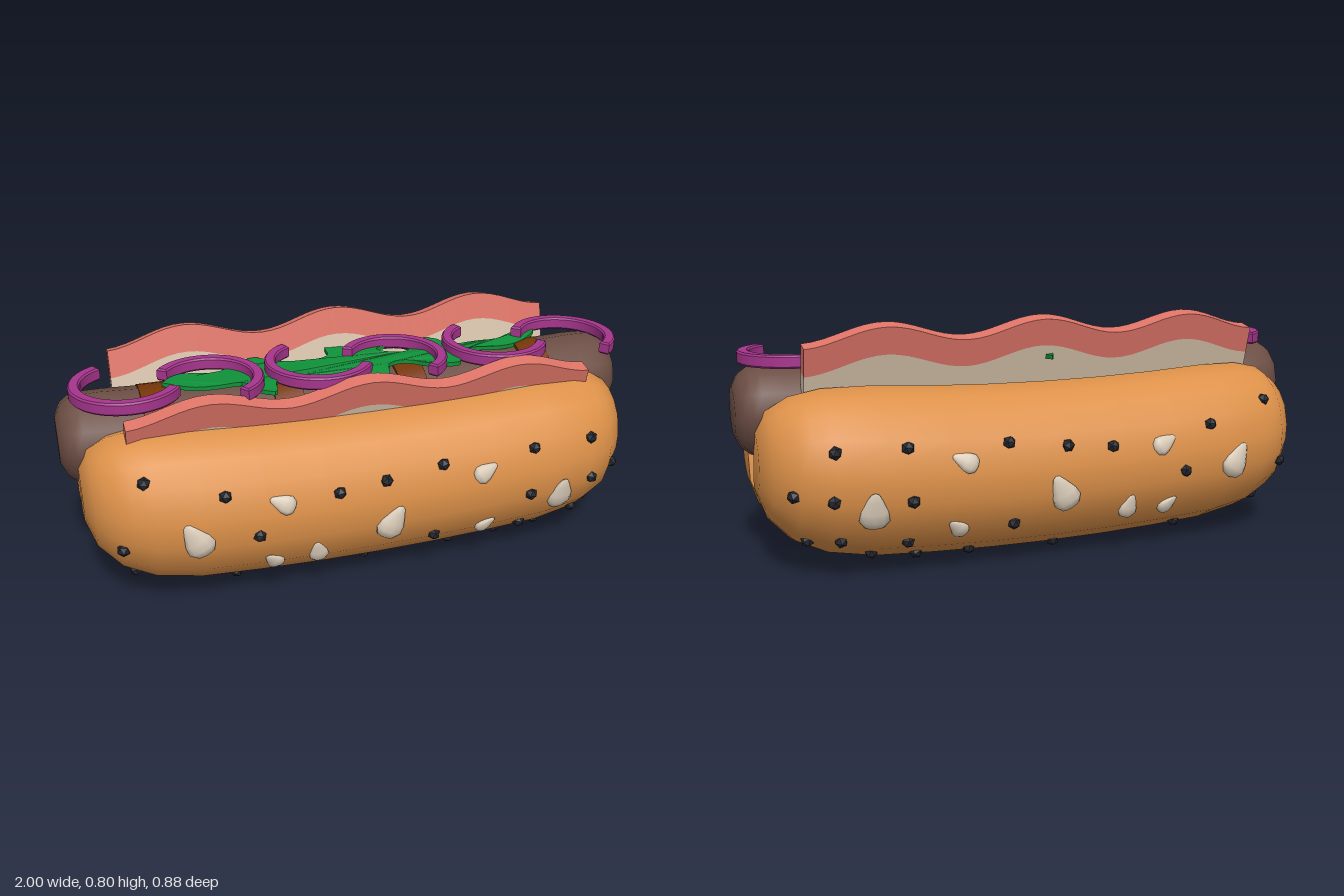
import * as THREE from 'three';
import { toCreasedNormals } from 'three/addons/utils/BufferGeometryUtils.js';

const paint = (name, color) => {
  const m = new THREE.MeshStandardMaterial({ color });
  m.name = name;
  return m;
};

// Piecewise linear lookup in [input, output] pairs
function lookup(table, t) {
  for (let i = 1; i < table.length; i++) {
    const [a, va] = table[i - 1], [b, vb] = table[i];
    if (t <= b) return va + (vb - va) * (t - a) / (b - a);
  }
  return table[table.length - 1][1];
}

// Closed skin over a row of equal-length rings, always facing outward
function loft(rings, crease) {
  const n = rings[0].length, pos = rings.flat(2), idx = [];
  for (let r = 0; r < rings.length - 1; r++) for (let i = 0; i < n; i++) {
    const a = r * n + i, b = r * n + (i + 1) % n;
    idx.push(a, b, a + n, b, b + n, a + n);
  }
  [0, rings.length - 1].forEach((r, end) => {
    const c = pos.length / 3;
    for (let k = 0; k < 3; k++) pos.push(rings[r].reduce((sum, p) => sum + p[k], 0) / n);
    for (let i = 0; i < n; i++) {
      const a = r * n + i, b = r * n + (i + 1) % n;
      idx.push(c, end ? a : b, end ? b : a);
    }
  });
  const v = i => new THREE.Vector3().fromArray(pos, i * 3);
  let volume = 0;
  for (let i = 0; i < idx.length; i += 3) volume += v(idx[i]).dot(v(idx[i + 1]).cross(v(idx[i + 2])));
  if (volume < 0) idx.reverse();
  const g = new THREE.BufferGeometry();
  g.setAttribute('position', new THREE.Float32BufferAttribute(pos, 3));
  g.setIndex(idx);
  return toCreasedNormals(g, crease);
}

// Bun half: [z, y] outline, shrunk towards the ends about a point on the cut face
const OUTLINE = [[0, 0.06], [0, 0.02], [0.12, 0.003], [0.22, 0.025], [0.31, 0.075], [0.38, 0.145], [0.415, 0.24],
  [0.42, 0.33], [0.39, 0.44], [0.335, 0.51], [0.27, 0.555], [0.19, 0.578], [0.145, 0.565]];
const OUTER = OUTLINE.slice(2, 12).map(([z, y]) => [y, z]);
const BUN_SCALE = [[0, 1], [0.6, 1], [0.75, 0.95], [0.85, 0.83], [0.92, 0.62], [0.95, 0.36]];
const CZ = 0.07, CY = 0.32;
const bunBend = x => 0.06 * x * x;

function bunSurface(x, y) {
  const s = lookup(BUN_SCALE, Math.abs(x));
  const z = lookup(OUTER, Math.max(0.004, CY + (y - bunBend(x) - CY) / s));
  return CZ + (z - CZ) * s;
}

function bunGeometry(side) {
  const xs = [0, 0.2, 0.4, 0.6, 0.75, 0.81, 0.85, 0.89, 0.92, 0.95];
  const all = [...xs.slice(1).reverse().map(x => -x), ...xs];
  return loft(all.map(x => {
    const s = lookup(BUN_SCALE, Math.abs(x));
    return OUTLINE.map(([z, y]) => [x, CY + (y - CY) * s + bunBend(x), side * (CZ + (z - CZ) * s)]);
  }), 0.85);
}

const DARK_SEEDS = [[-0.77, 0.49], [-0.53, 0.43], [-0.16, 0.385], [0, 0.4], [0.2, 0.425], [0.53, 0.435],
  [0.75, 0.435], [0.87, 0.3], [0.76, 0.285], [0.52, 0.27], [0.18, 0.155], [0.73, 0.14], [0.82, 0.13],
  [0.52, 0.12], [0.62, 0.07], [0.47, 0.05], [0.29, 0.045], [-0.02, 0.03], [-0.48, 0.055], [-0.81, 0.12],
  [-0.85, 0.265], [-0.43, 0.28]];
// x, y, length, roll
const PALE_SEEDS = [[-0.63, 0.3, 0.13, 0.5], [-0.35, 0.38, 0.09, 1.1], [0.02, 0.25, 0.13, -0.5],
  [0.35, 0.38, 0.09, -1.1], [0.64, 0.25, 0.13, 0], [-0.38, 0.16, 0.08, 0.7], [-0.23, 0.17, 0.09, 0.2],
  [0.37, 0.16, 0.08, -0.8]];

export function createModel() {
  const model = new THREE.Group();
  model.name = 'hotDog';
  const bunMat = paint('toasted bun', 0xdd9149), sausageMat = paint('sausage brown', 0x6b4d43);
  const baconMat = paint('bacon pink', 0xde7467), fatMat = paint('bacon fat', 0xd6c2ab);
  const onionMat = paint('onion purple', 0xa5358c), lettuceMat = paint('lettuce green', 0x10923a);
  const sauceMat = paint('brown sauce', 0x763508);
  const darkMat = paint('dark seed', 0x25272f), paleMat = paint('pale seed', 0xd9cbb8);
  darkMat.flatShading = true;
  const add = (name, geo, mat, parent = model) => {
    const m = new THREE.Mesh(geo, mat);
    m.name = name;
    parent.add(m);
    return m;
  };

  // Bun halves with seeds
  const darkGeo = new THREE.IcosahedronGeometry(0.022, 0);
  const paleGeo = new THREE.LatheGeometry([[0, -0.5], [0.25, -0.44], [0.38, -0.25], [0.34, -0.02], [0.2, 0.27],
    [0.1, 0.45], [0, 0.5]].map(p => new THREE.Vector2(...p)), 10);
  paleGeo.scale(1, 1, 0.5);
  for (const side of [1, -1]) {
    const half = new THREE.Group();
    half.name = side > 0 ? 'frontBunHalf' : 'backBunHalf';
    model.add(half);
    add('bun', bunGeometry(side), bunMat, half);
    const place = (mesh, x, y, roll) => {
      const e = 0.015, z = bunSurface(x, y);
      const slope = (dx, dy) => (bunSurface(x - dx, y - dy) - bunSurface(x + dx, y + dy)) / (2 * e);
      const normal = new THREE.Vector3(slope(e, 0), slope(0, e), side).normalize();
      mesh.position.set(x, y, side * z);
      mesh.quaternion.setFromUnitVectors(new THREE.Vector3(0, 0, side), normal);
      mesh.rotateZ(roll);
    };
    for (const [x, y] of DARK_SEEDS) place(add('darkSeed', darkGeo, darkMat, half), x, y, x * 9);
    for (const [x, y, size, roll] of PALE_SEEDS) {
      const seed = add('paleSeed', paleGeo, paleMat, half);
      seed.scale.setScalar(size);
      place(seed, x, y, roll);
    }
  }

  // Sausage, bent slightly upward at its ends
  const sausageY = x => 0.482 + 0.03 * x * x;
  const SAUSAGE = [[0, 1], [0.9, 1], [0.95, 0.92], [0.98, 0.77], [1, 0.5]];
  const sxs = [0, 0.3, 0.6, 0.85, 0.92, 0.95, 0.98, 1];
  add('sausage', loft([...sxs.slice(1).reverse().map(x => -x), ...sxs].map(x => {
    const r = 0.157 * lookup(SAUSAGE, Math.abs(x));
    return Array.from({ length: 12 }, (_, i) => {
      const a = i / 12 * Math.PI * 2;
      return [x, sausageY(x) + r * Math.cos(a), r * Math.sin(a)];
    });
  }), 0.9), sausageMat);

  // Sauce bands over the sausage
  for (const x of [-0.675, -0.24, 0.2, 0.67]) {
    const ring = [-0.05, 0.05].map(dx => Array.from({ length: 18 }, (_, i) => {
      const a = (i < 9 ? i / 4 - 1 : (17 - i) / 4 - 1) * 0.85, r = i < 9 ? 0.162 : 0.14;
      return [x + dx, sausageY(x) + r * Math.cos(a), r * Math.sin(a)];
    }));
    add('sauceBand', loft(ring, 0.6), sauceMat);
  }

  // Wavy bacon: pink, fat and pink stripes stacked down a leaning strip
  const bacon = (name, side, top, z0) => {
    const g = new THREE.Group();
    g.name = name;
    model.add(g);
    const stripe = (label, d0, d1, mat) => {
      const rings = [];
      for (let i = 0; i <= 48; i++) {
        const x = -0.8 + i / 30;
        const y = top - 0.03 + 0.028 * Math.cos(x * Math.PI * 2 / 0.54) - 0.012 * x * x;
        const z = z0 + 0.006 * Math.cos(x * Math.PI * 2 / 0.54);
        rings.push([[d0, -1], [d0, 1], [d1, 1], [d1, -1]].map(([d, t]) =>
          [x, y - d - t * 0.006, side * (z - d * 0.25 + t * 0.026)]));
      }
      add(label, loft(rings, 0.6), mat, g);
    };
    stripe('upperMeat', 0, 0.09, baconMat);
    stripe('fat', 0.09, 0.29, fatMat);
    stripe('lowerMeat', 0.29, 0.385, baconMat);
  };
  bacon('backBacon', -1, 0.797, 0.185);
  bacon('frontBacon', 1, 0.693, 0.222);

  // Ragged lettuce leaf
  const leaf = [[-0.65, 0.02], [-0.58, -0.05], [-0.45, -0.05], [-0.35, -0.11], [-0.3, -0.12], [-0.25, -0.06],
    [-0.15, -0.05], [-0.06, -0.07], [-0.05, -0.13], [-0.02, -0.225], [0.01, -0.13], [0.15, -0.125], [0.3, -0.12],
    [0.36, -0.1], [0.4, -0.02], [0.55, -0.03], [0.65, -0.08], [0.74, -0.08], [0.68, -0.02], [0.55, 0.04],
    [0.4, 0.04], [0.36, 0.13], [0.27, 0.12], [0.2, 0.06], [0.12, 0.08], [0.08, 0.17], [-0.05, 0.15],
    [-0.1, 0.1], [-0.2, 0.08], [-0.28, 0.1], [-0.3, 0.17], [-0.36, 0.14], [-0.4, 0.07], [-0.55, 0.07]];
  const curve = new THREE.SplineCurve([...leaf, leaf[0]].map(([x, z]) => new THREE.Vector2(x, -z)));
  const leafShape = new THREE.Shape(curve.getPoints(132));
  leafShape.holes.push(new THREE.Path().absellipse(0.18, 0.055, 0.06, 0.035, 0, Math.PI * 2));
  const leafGeo = new THREE.ExtrudeGeometry(leafShape, { depth: 0.014, bevelEnabled: false });
  leafGeo.rotateX(-Math.PI / 2);
  const lp = leafGeo.attributes.position;
  for (let i = 0; i < lp.count; i++)
    lp.setY(i, lp.getY(i) + 0.652 + 0.008 * Math.sin(lp.getX(i) * 17) * Math.cos(lp.getZ(i) * 14));
  leafGeo.computeVertexNormals();
  add('lettuce', leafGeo, lettuceMat);

  // Open onion rings, alternating which way the gap faces
  const onion = (x, z, from, to) => {
    const s = new THREE.Shape();
    s.absarc(0, 0, 0.18, from, to, false);
    s.absarc(0, 0, 0.152, to, from, true);
    const g = new THREE.ExtrudeGeometry(s, { depth: 0.031, curveSegments: 24, bevelThickness: 0.006,
      bevelSize: 0.005, bevelSegments: 1 });
    g.rotateX(-Math.PI / 2);
    add('onionRing', toCreasedNormals(g, 0.5), onionMat).position.set(x, 0.661, z);
  };
  for (let i = 0; i < 3; i++) {
    onion(-0.765 + i * 0.65, 0.02, 2.1, 5.75);
    onion(-0.505 + i * 0.645, 0.06, -0.95, 2.5);
  }
  return model;
}
